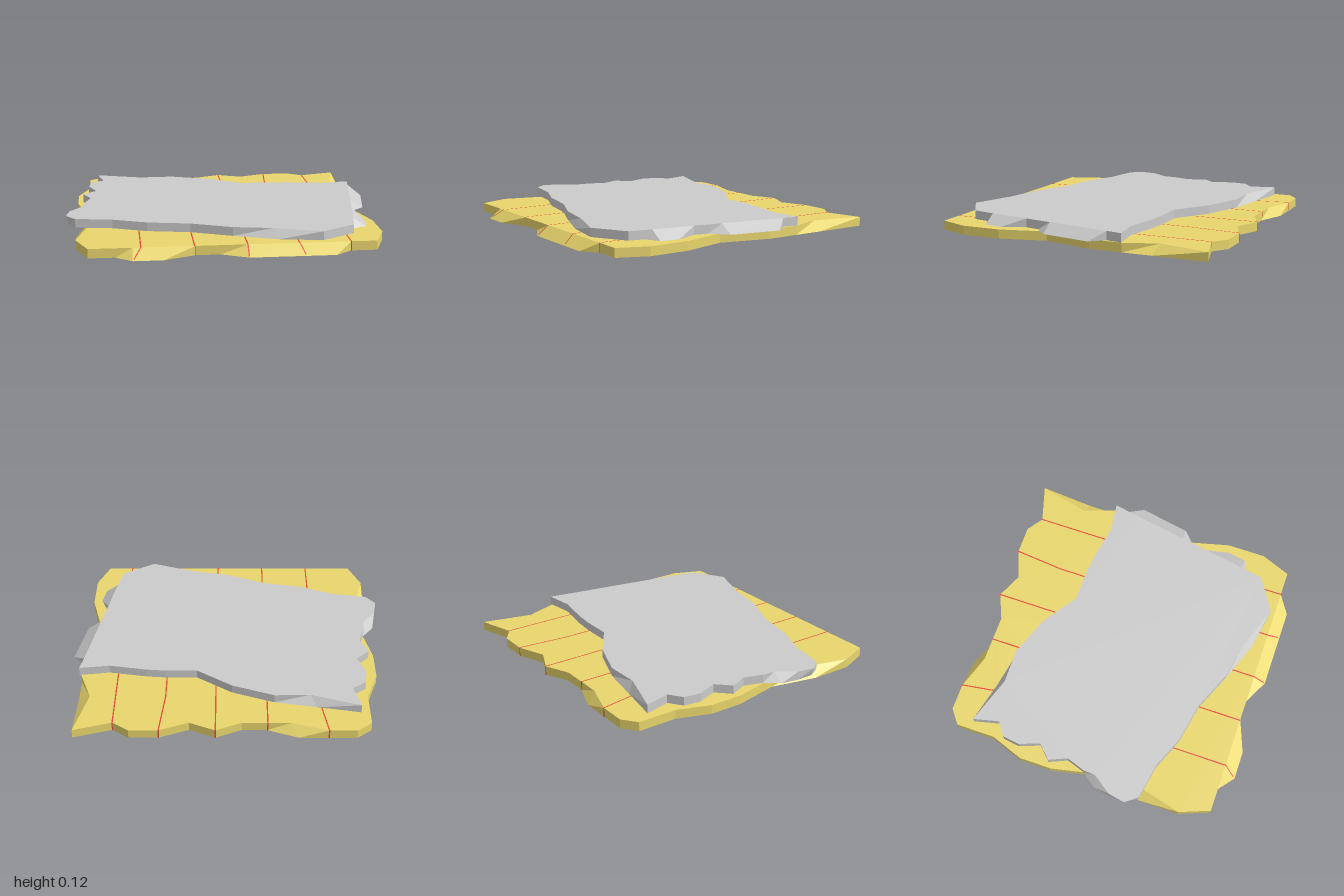
import * as THREE from 'three';

// Outline points run back-left, back, right, front, left: [x, z] on the top rim,
// followed by [x, z] on the bottom rim where the chipped edge slants.
const PLANK_RIM = [
  [-0.86, -0.87], [-0.77, -0.94], [-0.6, -0.94], [-0.38, -0.87, -0.42, -0.94], [-0.23, -0.87],
  [-0.08, -0.87], [0.08, -0.94], [0.24, -0.87], [0.42, -0.94], [0.6, -0.94], [0.7, -0.87],
  [0.935, -0.94], [0.86, -0.62, 0.935, -0.6], [0.935, -0.41], [0.935, -0.2], [0.86, 0.12],
  [0.935, 0.41], [0.935, 0.66], [0.86, 0.85], [0.7, 0.85], [0.6, 0.85, 0.6, 0.93],
  [0.42, 0.85, 0.42, 0.93], [0.08, 0.85, 0.08, 0.93], [-0.08, 0.85], [-0.23, 0.85],
  [-0.42, 0.85, -0.42, 0.93], [-0.6, 0.85, -0.6, 0.93], [-0.7, 0.85], [-0.86, 0.85],
  [-0.935, 0.66], [-0.87, 0.4, -0.935, 0.4], [-0.87, 0.1], [-0.935, -0.2], [-0.935, -0.41],
  [-0.86, -0.62],
];
const STONE_RIM = [
  [-0.805, -0.775], [-0.5, -0.675, -0.54, -0.727], [-0.28, -0.68], [-0.02, -0.585], [0.2, -0.435],
  [0.4, -0.435], [0.52, -0.425], [0.755, -0.385], [0.945, -0.41], [0.925, -0.31],
  [0.91, -0.225, 1, -0.225], [0.855, 0.1, 0.94, 0.1], [0.84, 0.19], [0.822, 0.28],
  [0.8, 0.425, 0.88, 0.425], [0.777, 0.545, 0.86, 0.545], [0.77, 0.59], [0.75, 0.69],
  [0.54, 0.82], [0.25, 0.72, 0.28, 0.775], [0.01, 0.675], [-0.24, 0.57], [-0.5, 0.52],
  [-0.71, 0.435], [-0.94, 0.395], [-1, 0.32, -0.98, 0.32], [-0.98, 0.21],
  [-0.895, 0.09, -0.96, 0.1], [-0.89, 0.01], [-0.85, -0.11], [-0.9, -0.225], [-0.815, -0.31],
  [-0.865, -0.44], [-0.85, -0.55], [-0.765, -0.61],
];

function meshFrom(name, positions, color, side = THREE.FrontSide) {
  const geometry = new THREE.BufferGeometry();
  geometry.setAttribute('position', new THREE.Float32BufferAttribute(positions, 3));
  geometry.computeVertexNormals();
  const mesh = new THREE.Mesh(geometry, new THREE.MeshStandardMaterial({ color, flatShading: true, side }));
  mesh.name = name;
  return mesh;
}

// Slab with separate top and bottom rims joined by slanted sides
function slab(name, rim, y0, y1, color) {
  const top = rim.map(p => [p[0], y1, p[1]]);
  const bottom = rim.map(p => [p[2] ?? p[0], y0, p[3] ?? p[1]]);
  const out = [];
  const cap = (ring, up) => {
    const flat = ring.map(p => new THREE.Vector2(p[0], p[2]));
    for (const [a, b, c] of THREE.ShapeUtils.triangulateShape(flat, [])) {
      const facesUp = THREE.ShapeUtils.area([flat[a], flat[b], flat[c]]) < 0;
      out.push(...ring[a], ...(facesUp === up ? [...ring[b], ...ring[c]] : [...ring[c], ...ring[b]]));
    }
  };
  cap(top, true);
  cap(bottom, false);
  rim.forEach((_, i) => {
    const j = (i + 1) % rim.length;
    out.push(...top[i], ...top[j], ...bottom[j], ...top[i], ...bottom[j], ...bottom[i]);
  });
  return meshFrom(name, out, color);
}

// Thin seam wrapped once around the slab: over the top, down the front, back underneath
function seam(x, xEnd, back, front, height) {
  const e = 0.0015, w = 0.004;
  const path = [
    [xEnd, height + e, back - e], [x, height + e, -0.62], [x, height + e, 0.85 + e],
    [xEnd, -e, front + e], [x, -e, 0.62], [x, -e, -0.62], [xEnd, -e, back - e],
  ];
  const out = [];
  path.forEach(([ax, ay, az], i) => {
    const [bx, by, bz] = path[(i + 1) % path.length];
    out.push(ax - w, ay, az, ax + w, ay, az, bx + w, by, bz, ax - w, ay, az, bx + w, by, bz, bx - w, by, bz);
  });
  return meshFrom('plankSeam', out, 0xe04a38, THREE.DoubleSide);
}

export function createModel() {
  const model = new THREE.Group();
  model.name = 'layeredFloorTile';

  // Lower plank layer with its seams
  const planks = new THREE.Group();
  planks.name = 'plankLayer';
  const height = 0.057;
  planks.add(slab('plankSlab', PLANK_RIM, 0, height, 0xe8d66c));
  const seams = [
    [-0.55, -0.6, -0.94, 0.93], [-0.235, -0.235, -0.87, 0.85], [0.08, 0.08, -0.94, 0.93],
    [0.39, 0.42, -0.94, 0.93], [0.7, 0.7, -0.87, 0.85],
  ];
  for (const s of seams) planks.add(seam(...s, height));

  // Upper broken stone layer
  model.add(planks, slab('stoneSlab', STONE_RIM, 0.06, 0.115, 0xcccccc));
  return model;
}
